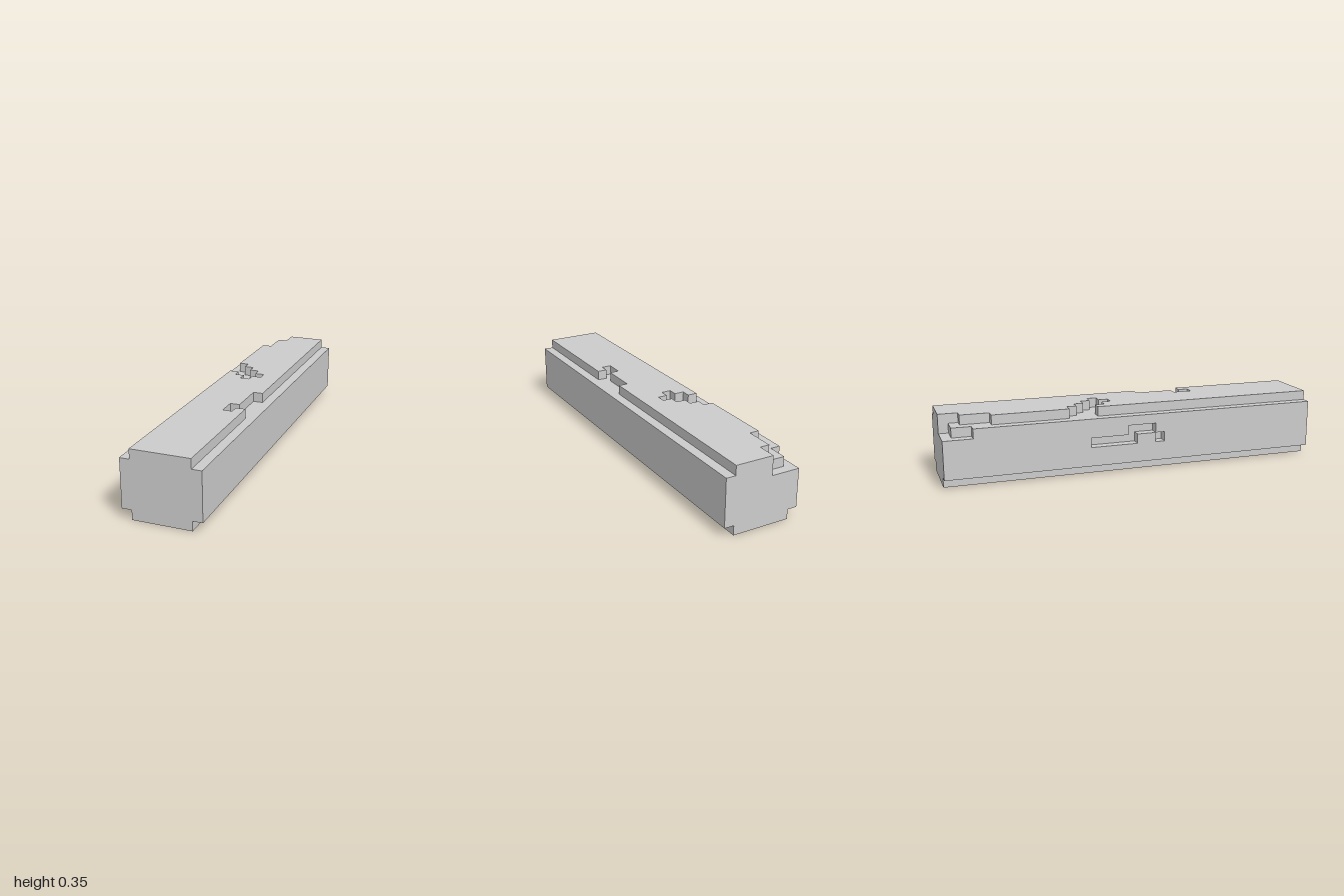
import * as THREE from 'three';

const material = new THREE.MeshStandardMaterial({ color: 0xcccccc, flatShading: true });
const toPoints = (pairs) => pairs.map(([a, b]) => new THREE.Vector2(a, b));

function extrude(outline, depth, holes = []) {
  const shape = new THREE.Shape(toPoints(outline));
  for (const hole of holes) shape.holes.push(new THREE.Path(toPoints(hole)));
  return new THREE.ExtrudeGeometry(shape, { depth, bevelEnabled: false });
}

// Flat layer from a plan outline of [x, z] points, one block (0.05) thick
function layer(outline, y) {
  return extrude(outline.map(([x, z]) => [x, -z]), 0.05).rotateX(-Math.PI / 2).translate(0, y, 0);
}

export function createModel() {
  const group = new THREE.Group();
  const add = (name, geometry) => {
    const mesh = new THREE.Mesh(geometry, material);
    mesh.name = name;
    group.add(mesh);
  };

  // Main beam with its narrower foot, extruded along z
  add('core', extrude([
    [-0.15, 0], [0.15, 0], [0.15, 0.05], [0.2, 0.05], [0.2, 0.25], [-0.15, 0.25],
  ], 2).translate(0, 0, -1));

  // Side slab, outline in [z, y], with the broken back corner and a stepped gouge
  add('sideSlab', extrude([
    [-1, 0.05], [1, 0.05], [1, 0.3], [-0.85, 0.3], [-0.85, 0.25], [-1, 0.25],
  ], 0.05, [
    [[-0.25, 0.15], [0, 0.15], [0, 0.2], [0.1, 0.2], [0.1, 0.25], [-0.05, 0.25], [-0.05, 0.2], [-0.25, 0.2]],
    [[0.1, 0.15], [0.15, 0.15], [0.15, 0.2], [0.1, 0.2]],
  ]).rotateY(-Math.PI / 2).translate(-0.15, 0, 0));

  // Shoulder layer, chipped at the back corner
  add('shoulder', layer([
    [-0.15, 1], [0.2, 1], [0.2, -1], [-0.05, -1], [-0.05, -0.95], [-0.15, -0.95],
  ], 0.25));

  // Top layer with stepped chips along both edges
  add('top', layer([
    [-0.15, 1], [0.15, 1],
    // chip on the left edge
    [0.15, 0.35], [0.1, 0.35], [0.1, 0.4], [0.05, 0.4], [0.05, 0.3], [0.1, 0.3], [0.1, 0.1], [0.15, 0.1],
    // broken back corner
    [0.15, -1], [-0.05, -1], [-0.05, -0.9], [-0.1, -0.9], [-0.1, -0.75], [-0.15, -0.75],
    // crack on the right edge
    [-0.15, -0.35], [-0.1, -0.35], [-0.1, -0.3], [-0.05, -0.3], [-0.05, -0.25], [0, -0.25],
    [0, -0.2], [0.05, -0.2], [0.05, -0.15], [0, -0.15], [0, -0.1], [-0.05, -0.1],
    [-0.05, -0.15], [-0.1, -0.15], [-0.1, -0.2], [-0.15, -0.2],
  ], 0.3));

  return group;
}
